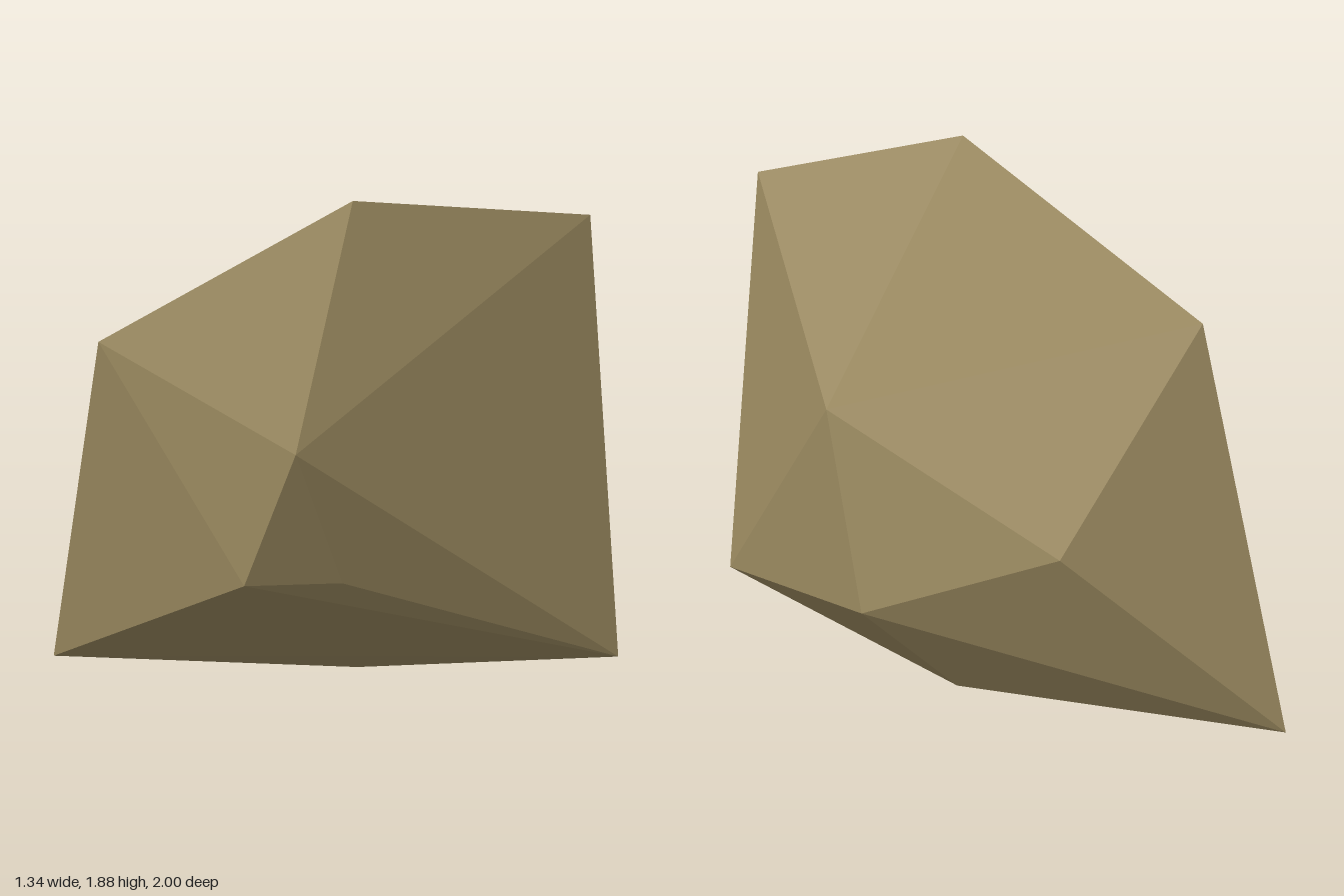
import * as THREE from 'three';
import { ConvexGeometry } from 'three/addons/geometries/ConvexGeometry.js';

export function createModel() {
  const group = new THREE.Group();
  group.name = 'rock';

  const stone = new THREE.MeshStandardMaterial({ color: 0x9b8a60 });
  stone.name = 'brown stone';

  // Corners of the faceted boulder; its flat faces are their convex hull
  const corners = [
    // top ridge
    [-0.45, 1.88, 0.66], [0.25, 1.82, 1.0], [0.64, 1.29, 0.17], [-0.67, 1.36, -0.35],
    // waist
    [0.28, 0.87, -0.56], [0.67, 0.58, 0.0], [-0.645, 1.13, 0.62],
    [-0.65, 0.66, 0.38], [-0.4, 0.66, 0.57],
    // underside
    [0.545, 0.28, 0.97], [0.23, 0.05, 0.0], [-0.475, 0, -1.0],
  ].map((p) => new THREE.Vector3(...p));

  const boulder = new THREE.Mesh(new ConvexGeometry(corners), stone);
  boulder.name = 'boulder';
  group.add(boulder);
  return group;
}
